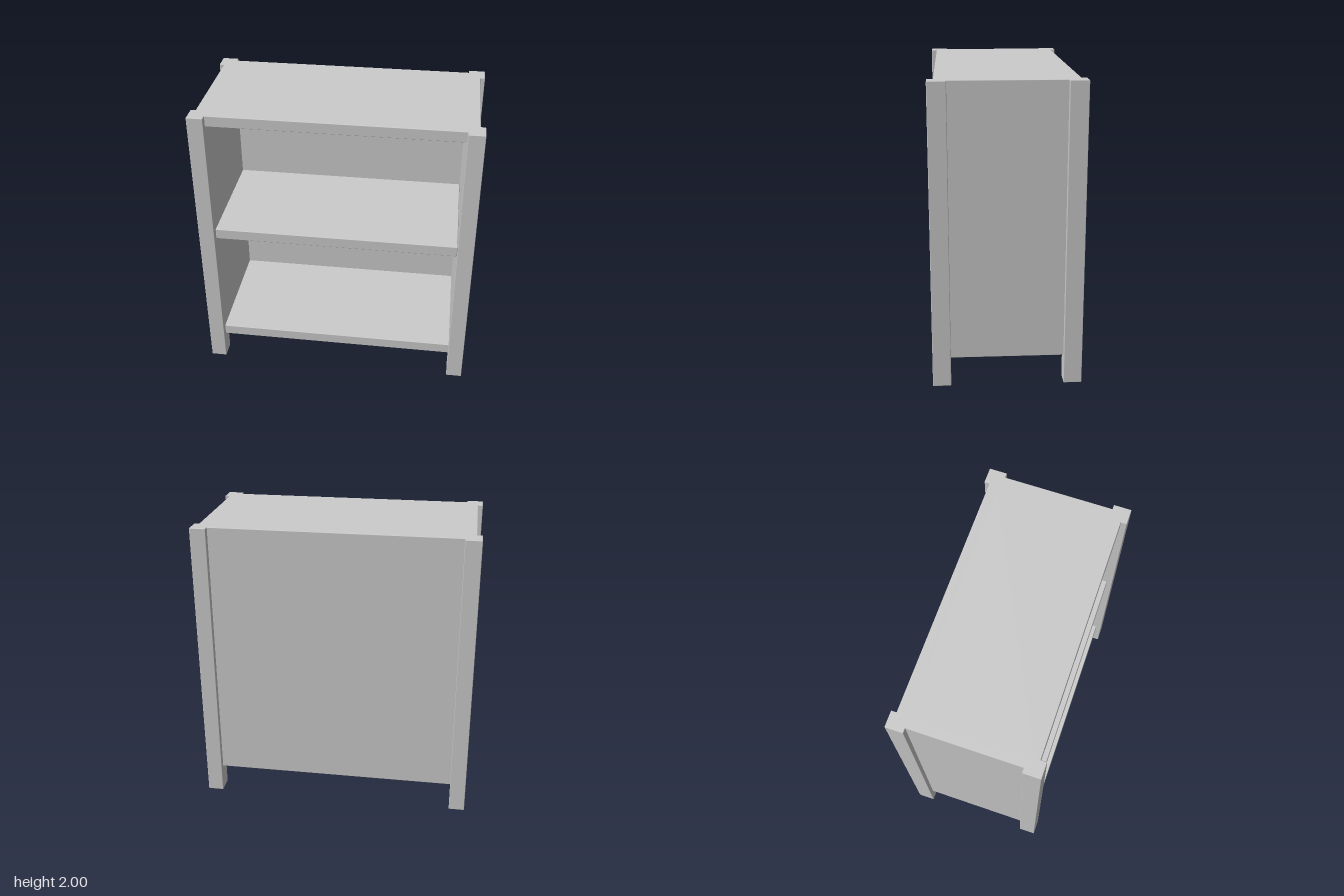
import * as THREE from 'three';
import { RoundedBoxGeometry } from 'three/addons/geometries/RoundedBoxGeometry.js';

export function createModel() {
  const model = new THREE.Group();
  model.name = 'bookcase';
  const material = new THREE.MeshStandardMaterial({ color: 0xcccccc });

  // Board with slightly eased edges, given by its extents on each axis
  const board = (name, [x0, x1], [y0, y1], [z0, z1]) => {
    const geometry = new RoundedBoxGeometry(x1 - x0, y1 - y0, z1 - z0, 1, 0.004);
    const mesh = new THREE.Mesh(geometry, material);
    mesh.name = name;
    mesh.position.set((x0 + x1) / 2, (y0 + y1) / 2, (z0 + z1) / 2);
    model.add(mesh);
  };

  const outer = 0.91, inner = 0.833, post = 0.943;
  const bottom = 0.185, thick = 0.075;
  const back = -0.455, backInner = -0.38, front = 0.45;

  // Corner posts and side panels, mirrored
  for (const [side, s] of [['left', 1], ['right', -1]]) {
    const span = (a, b) => (s > 0 ? [a, b] : [-b, -a]);
    board(side + 'FrontPost', span(inner, post), [0, 2], [0.37, 0.49]);
    board(side + 'BackPost', span(inner, post), [0, 2], [-0.49, -0.37]);
    board(side + 'SidePanel', span(inner, outer), [bottom, 2], [back, front]);
  }

  // Back panel, top and the two shelves
  board('backPanel', [-outer, outer], [bottom, 2], [back, backInner]);
  board('topPanel', [-outer, outer], [2 - thick, 2], [back, front]);
  board('middleShelf', [-inner, inner], [1.055, 1.055 + thick], [backInner, front]);
  board('bottomShelf', [-outer, outer], [bottom, bottom + thick], [back, front]);

  return model;
}
